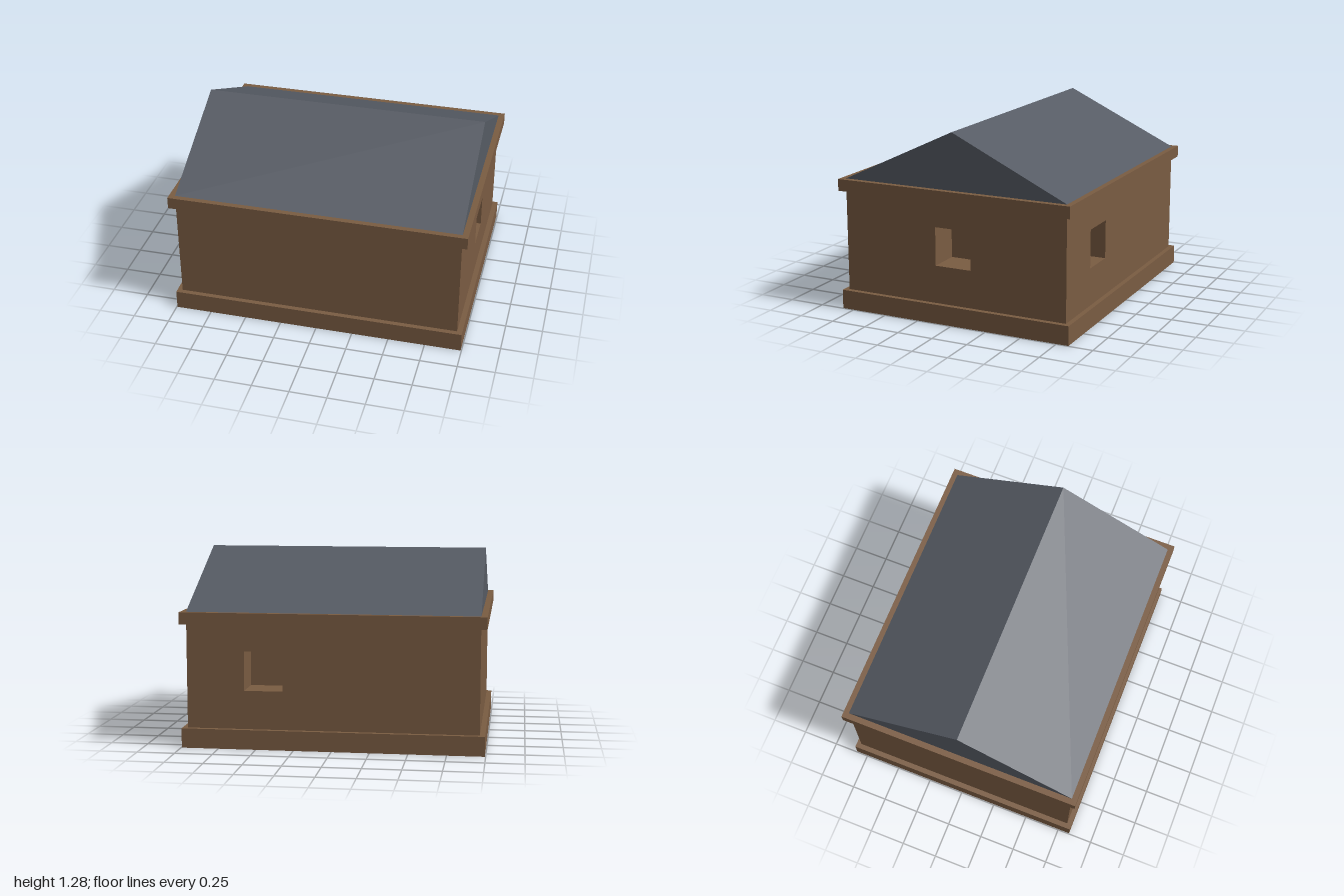
import * as THREE from 'three';

const brown = new THREE.MeshStandardMaterial({ color: 0x7a5c42, flatShading: true });
const slate = new THREE.MeshStandardMaterial({ color: 0x565b64, flatShading: true });

const HALF_X = 0.96, HALF_Z = 0.8;            // wall footprint
const BASE_TOP = 0.13, WALL_TOP = 0.82, EAVES = 0.9, RIDGE = 1.28;
const WINDOW = { width: 0.256, height: 0.26, bottom: 0.385, depth: 0.22 };

function addMesh(parent, name, geometry, material) {
  const mesh = new THREE.Mesh(geometry, material);
  mesh.name = name;
  parent.add(mesh);
  return mesh;
}

// Horizontal band around the house, from y0 to y1
function band(parent, name, halfX, halfZ, y0, y1) {
  addMesh(parent, name, new THREE.BoxGeometry(halfX * 2, y1 - y0, halfZ * 2), brown)
    .position.y = (y0 + y1) / 2;
}

function rectangle(PathType, x0, y0, x1, y1) {
  return new PathType([[x0, y0], [x1, y0], [x1, y1], [x0, y1]].map(p => new THREE.Vector2(...p)));
}

// Inward-facing box without its outer face
function recessGeometry() {
  const geometry = new THREE.BoxGeometry(WINDOW.width, WINDOW.height, WINDOW.depth);
  const index = Array.from(geometry.index.array);
  index.splice(24, 6);
  geometry.setIndex(index.reverse());
  geometry.clearGroups();
  geometry.computeVertexNormals();
  return geometry;
}

// Wall facing +z, pushed out by distance and turned about y; windowX is optional
function wall(parent, name, halfWidth, distance, turn, windowX) {
  const group = new THREE.Group();
  group.name = name;
  group.rotation.y = turn;
  const shape = rectangle(THREE.Shape, -halfWidth, BASE_TOP, halfWidth, WALL_TOP);
  if (windowX !== undefined) {
    const { width, height, bottom, depth } = WINDOW;
    shape.holes.push(rectangle(THREE.Path, windowX - width / 2, bottom, windowX + width / 2, bottom + height));
    addMesh(group, 'windowRecess', recessGeometry(), brown)
      .position.set(windowX, bottom + height / 2, distance - depth / 2);
  }
  addMesh(group, 'wallPanel', new THREE.ShapeGeometry(shape), brown).position.z = distance;
  parent.add(group);
}

export function createModel() {
  const house = new THREE.Group();
  house.name = 'house';

  // Plinth and cornice
  band(house, 'plinth', 0.995, 0.833, 0, BASE_TOP);
  band(house, 'cornice', 1, 0.837, WALL_TOP, EAVES);

  // Walls, with windows in the left (+x) and back walls
  wall(house, 'frontWall', HALF_X, HALF_Z, 0);
  wall(house, 'leftWall', HALF_Z, HALF_X, Math.PI / 2, 0);
  wall(house, 'backWall', HALF_X, HALF_Z, Math.PI, -0.45);
  wall(house, 'rightWall', HALF_Z, HALF_X, -Math.PI / 2);

  // Gable roof
  const gable = new THREE.Shape([
    new THREE.Vector2(-HALF_Z, EAVES),
    new THREE.Vector2(HALF_Z, EAVES),
    new THREE.Vector2(0, RIDGE),
  ]);
  const roof = new THREE.ExtrudeGeometry(gable, { depth: HALF_X * 2, bevelEnabled: false });
  roof.translate(0, 0, -HALF_X).rotateY(Math.PI / 2);
  addMesh(house, 'roof', roof, slate);

  return house;
}
